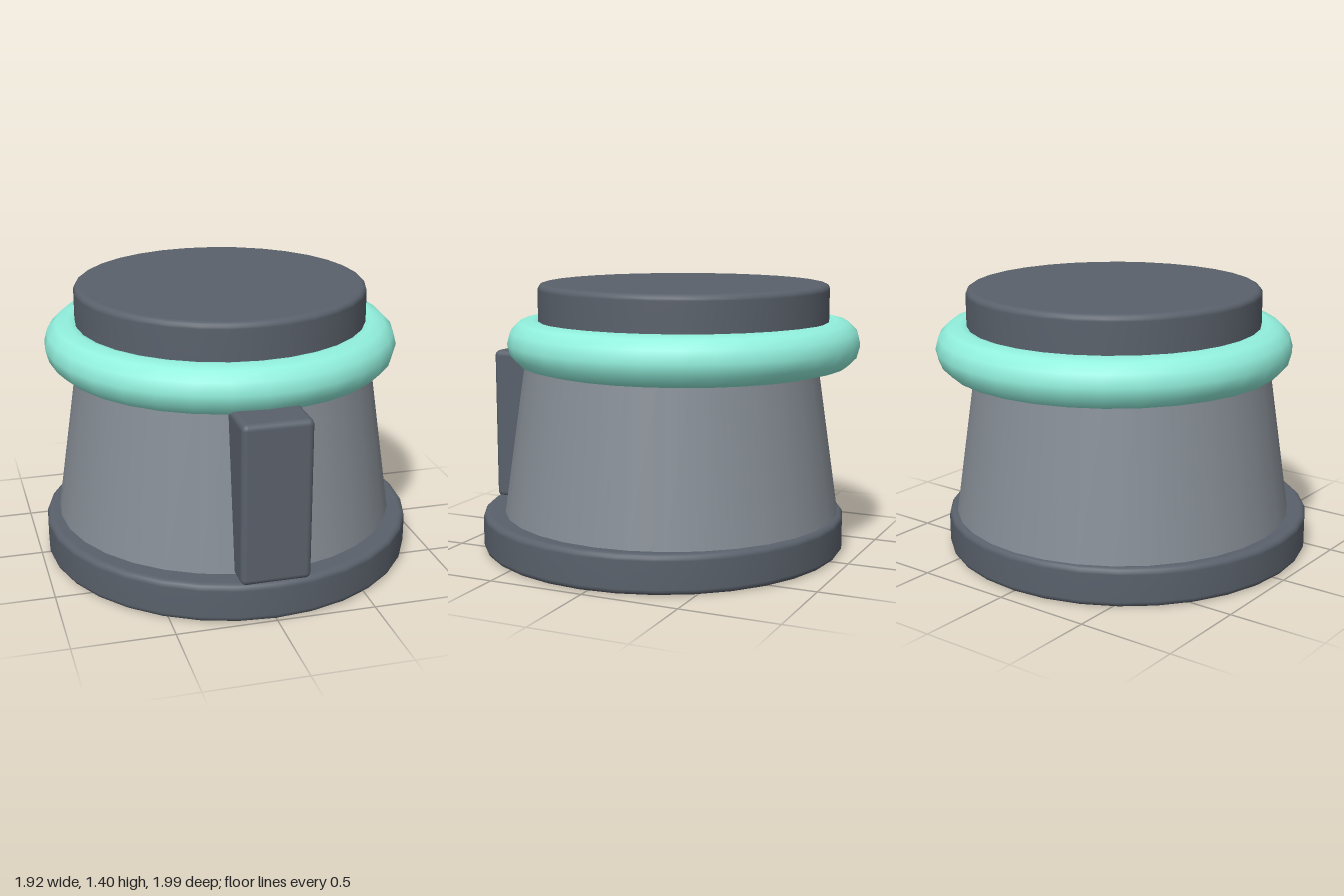
import * as THREE from 'three';
import { RoundedBoxGeometry } from 'three/addons/geometries/RoundedBoxGeometry.js';

const SIDES = 32;
const dark = new THREE.MeshStandardMaterial({ color: 0x5a616b });
const grey = new THREE.MeshStandardMaterial({ color: 0x868d95 });
const mint = new THREE.MeshStandardMaterial({ color: 0x92f0dd });

// Round disc with softened rims, standing from y0 to y1
function roundedDisc(radius, y0, y1, bevel) {
  const profile = [new THREE.Vector2(0, y0), new THREE.Vector2(radius - bevel - 0.005, y0)];
  const corner = (cy, from) => {
    for (let i = 0; i <= 4; i++) {
      const a = from + (i / 4) * Math.PI / 2;
      profile.push(new THREE.Vector2(radius - bevel + bevel * Math.cos(a), cy + bevel * Math.sin(a)));
    }
  };
  corner(y0 + bevel, -Math.PI / 2);
  corner(y1 - bevel, 0);
  profile.push(new THREE.Vector2(radius - bevel - 0.005, y1), new THREE.Vector2(0, y1));
  return new THREE.LatheGeometry(profile, SIDES);
}

export function createModel() {
  const group = new THREE.Group();
  const add = (name, geometry, material, x, y, z) => {
    const mesh = new THREE.Mesh(geometry, material);
    mesh.name = name;
    mesh.position.set(x, y, z);
    group.add(mesh);
    return mesh;
  };

  // Wide foot
  add('base', roundedDisc(0.96, 0, 0.2, 0.03), dark, 0, 0, 0.037);

  // Tapered drum, sunk slightly into the foot
  add('body', new THREE.CylinderGeometry(0.738, 0.888, 1.02, SIDES), grey, 0, 0.69, -0.01);

  // Lid disc
  add('cap', roundedDisc(0.757, 1.1, 1.4, 0.03), dark, 0, 0, -0.08);

  // Fat ring around the neck
  const ring = add('ring', new THREE.TorusGeometry(0.793, 0.125, 12, SIDES), mint, 0, 1.095, -0.08);
  ring.rotation.x = Math.PI / 2;

  // Upright block on the front
  add('frontBlock', new RoundedBoxGeometry(0.35, 0.82, 0.3, 3, 0.03), dark, 0, 0.6, 0.83);

  return group;
}
